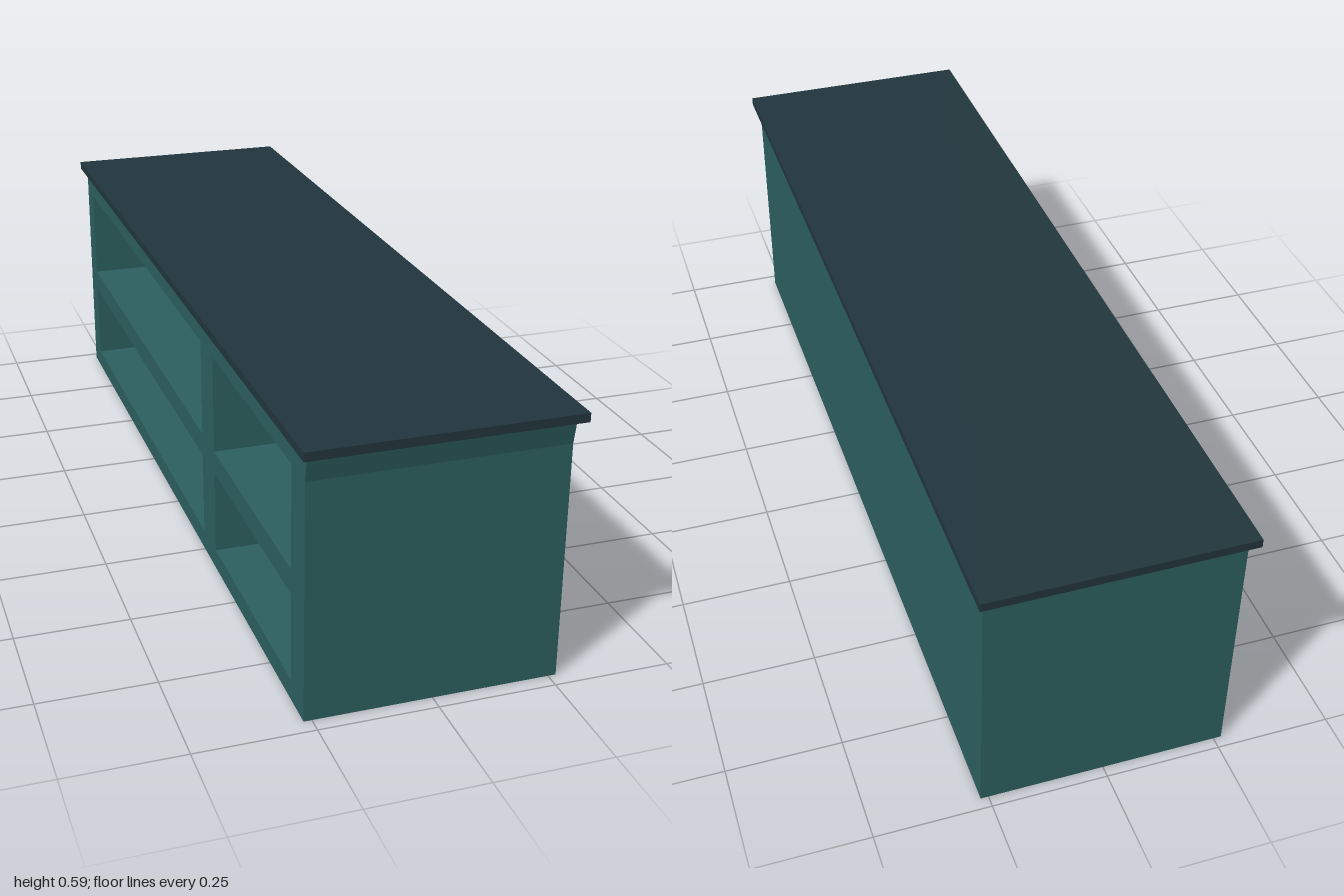
import * as THREE from 'three';

const teal = new THREE.MeshStandardMaterial({ color: 0x2d5f60 });
teal.name = 'teal paint';
const slate = new THREE.MeshStandardMaterial({ color: 0x22363d });
slate.name = 'dark slate';

const HALF_WIDTH = 0.267;
const BACK_X = 0.225; // inner face of the closed long side
const BODY_TOP = 0.57;

// Side silhouette (z across, y up), with a small flare at the top of the front end
function sideProfile() {
  return new THREE.Shape([
    [-0.975, 0], [0.966, 0], [0.966, 0.513], [0.977, BODY_TOP], [-0.975, BODY_TOP],
  ].map(([z, y]) => new THREE.Vector2(z, y)));
}

// Rectangular opening cut through the profile
function opening(z0, z1, y0, y1) {
  return new THREE.Path([
    new THREE.Vector2(z0, y0), new THREE.Vector2(z0, y1),
    new THREE.Vector2(z1, y1), new THREE.Vector2(z1, y0),
  ]);
}

// Extrude a profile from x = startX towards -x
function slab(name, shape, startX, depth) {
  const geometry = new THREE.ExtrudeGeometry(shape, { depth, bevelEnabled: false });
  geometry.rotateY(-Math.PI / 2);
  geometry.translate(startX, 0, 0);
  const mesh = new THREE.Mesh(geometry, teal);
  mesh.name = name;
  return mesh;
}

export function createModel() {
  const group = new THREE.Group();
  group.name = 'shopCounter';

  // Shelving: a wide and a narrow bay, two compartments each
  const shelving = sideProfile();
  for (const [z0, z1] of [[-0.907, 0.245], [0.343, 0.887]]) {
    for (const [y0, y1] of [[0.045, 0.237], [0.29, 0.513]]) {
      shelving.holes.push(opening(z0, z1, y0, y1));
    }
  }
  group.add(slab('shelving', shelving, BACK_X, BACK_X + HALF_WIDTH));

  // Closed long side
  group.add(slab('longPanel', sideProfile(), HALF_WIDTH, HALF_WIDTH - BACK_X));

  // Overhanging worktop
  const top = new THREE.Mesh(new THREE.BoxGeometry(0.562, 0.019, 2), slate);
  top.name = 'worktop';
  top.position.y = BODY_TOP + 0.0095;
  group.add(top);

  return group;
}
